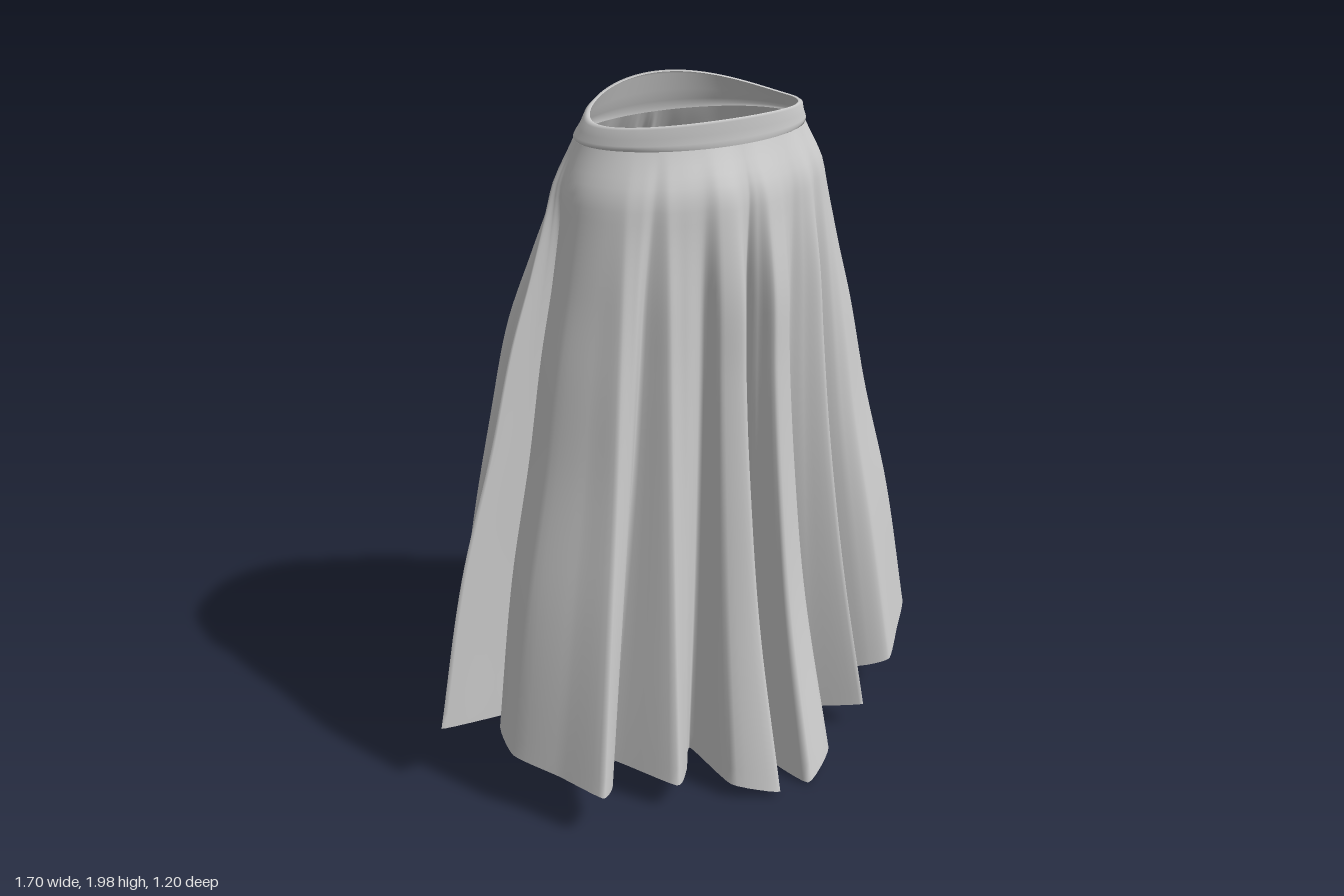
import * as THREE from 'three';

// Hem outline seen from above as x, z pairs: front centre -> left -> back -> right
const HEM = [
  -0.02, 0.25, 0.0, 0.4, 0.03, 0.595, 0.16, 0.53, 0.15, 0.4, 0.15, 0.28,
  0.24, 0.36, 0.35, 0.465, 0.34, 0.36, 0.34, 0.24, 0.47, 0.34, 0.54, 0.37,
  0.65, 0.28, 0.76, 0.18, 0.64, 0.1, 0.54, 0.05, 0.7, 0.02, 0.85, -0.01,
  0.7, -0.06, 0.57, -0.1, 0.7, -0.15, 0.835, -0.2, 0.7, -0.24, 0.45, -0.26,
  0.25, -0.27, 0.22, -0.42, 0.2, -0.555, 0.12, -0.51, 0.07, -0.43, 0.04, -0.3,
  0.03, -0.45, -0.01, -0.6, -0.02, -0.46, -0.06, -0.34, -0.12, -0.42, -0.14, -0.53,
  -0.21, -0.57, -0.23, -0.43, -0.25, -0.32, -0.36, -0.47, -0.37, -0.33, -0.38, -0.2,
  -0.46, -0.31, -0.54, -0.41, -0.59, -0.42, -0.63, -0.32, -0.55, -0.21, -0.7, -0.1,
  -0.85, -0.01, -0.65, -0.03, -0.45, -0.06, -0.67, 0.01, -0.72, 0.18, -0.65, 0.32,
  -0.59, 0.455, -0.53, 0.41, -0.47, 0.27, -0.35, 0.465, -0.27, 0.4, -0.19, 0.3,
  -0.19, 0.51, -0.07, 0.59, -0.05, 0.42,
];
const PER_POINT = 6, ROWS = 44, SEAM_Y = 1.88, BULGE = 0.05;
const CX = -0.02, CZ = 0.06;

// How far the cloth has flared from waist to hem at each height (front, side, back)
const flare = new THREE.CubicInterpolant(
  [0, 0.045, 0.21, 0.33, 0.5, 0.72, 1],
  [0, 0, 0, 0.02, 0.03, 0.05, 0.2, 0.2, 0.38, 0.24, 0.35, 0.59,
    0.35, 0.52, 0.74, 0.56, 0.78, 0.86, 1, 1, 1], 3);

// Closed rings of points, listed from top to bottom, joined into one smooth surface
function loft(name, rings, material) {
  const n = rings[0].length, index = [];
  for (let j = 0; j < rings.length - 1; j++) {
    for (let i = 0; i < n; i++) {
      const k = (i + 1) % n, a = j * n + i, b = a + n, c = j * n + k, d = c + n;
      index.push(a, b, c, c, b, d);
    }
  }
  const geometry = new THREE.BufferGeometry().setFromPoints(rings.flat());
  geometry.setIndex(index);
  geometry.computeVertexNormals();
  const mesh = new THREE.Mesh(geometry, material);
  mesh.name = name;
  return mesh;
}

// Waist angle for each hem sample: the hem's own angle, evened out across the folds
function waistAngles(hem) {
  const raw = [], n = hem.length, reach = 2 * PER_POINT;
  hem.forEach((p, i) => {
    let a = Math.atan2((p.x - CX) / 1.5, p.z - CZ);
    if (i) a += 2 * Math.PI * Math.round((raw[i - 1] - a) / (2 * Math.PI));
    raw.push(a);
  });
  const at = (i) => raw[(i + n) % n] + 2 * Math.PI * Math.floor(i / n);
  return raw.map((_, i) => {
    let sum = 0;
    for (let k = -reach; k <= reach; k++) sum += at(i + k);
    return sum / (2 * reach + 1);
  }).sort((a, b) => a - b);
}

export function createModel() {
  const group = new THREE.Group();
  group.name = 'pleatedSkirt';
  const material = new THREE.MeshStandardMaterial({ color: 0xcccccc, side: THREE.DoubleSide });

  // Sampled hem, lower at the front and back than at the sides
  const points = [];
  for (let i = 0; i < HEM.length; i += 2) points.push(new THREE.Vector3(HEM[i], 0, HEM[i + 1]));
  const curve = new THREE.CatmullRomCurve3(points, true, 'catmullrom', 0.25);
  const count = points.length * PER_POINT;
  const hem = Array.from({ length: count }, (_, i) => {
    const p = curve.getPoint(i / count);
    p.y = 0.02 + 0.235 * Math.abs(p.x);
    return p;
  });
  const angles = waistAngles(hem);
  const oval = (a, rx, rz, y, cz = CZ) =>
    new THREE.Vector3(CX + rx * Math.sin(a), y, cz + rz * Math.cos(a));

  // Skirt: the waist oval swells over the hips and opens into the folds of the hem
  const skirtRings = [];
  for (let j = 0; j <= ROWS; j++) {
    const t = Math.pow(j / ROWS, 1.25);
    const grow = BULGE * THREE.MathUtils.smoothstep(t, -0.03, 0.08);
    const [front, sides, back] = flare.evaluate(t);
    skirtRings.push(hem.map((h, i) => {
      const c = Math.cos(angles[i]);
      const f = THREE.MathUtils.lerp(sides, c > 0 ? front : back, c * c);
      const p = oval(angles[i], 0.335 + grow, 0.218 + grow, 0).lerp(h, f);
      p.y = THREE.MathUtils.lerp(SEAM_Y, h.y, t);
      return p;
    }));
  }
  group.add(loft('skirt', skirtRings, material));

  // Waistband: a soft band whose rim dips at the sides and rises at the back
  const band = [ // [rx, rz, centre z, height share from seam to rim]
    [0.308, 0.198, 0.08, 0.97], [0.315, 0.203, 0.079, 1], [0.325, 0.208, 0.077, 0.9],
    [0.335, 0.213, 0.07, 0.5], [0.345, 0.221, 0.064, 0.22], [0.347, 0.224, 0.061, 0.08],
    [0.341, 0.224, CZ, -0.02],
  ];
  group.add(loft('waistband', band.map(([rx, rz, cz, s]) => angles.map((a) => {
    const c = Math.cos(a);
    const rim = 1.935 + (c > 0 ? 0.015 : 0.065) * c * c;
    return oval(a, rx, rz, THREE.MathUtils.lerp(SEAM_Y, rim, s), cz);
  })), material));

  return group;
}
